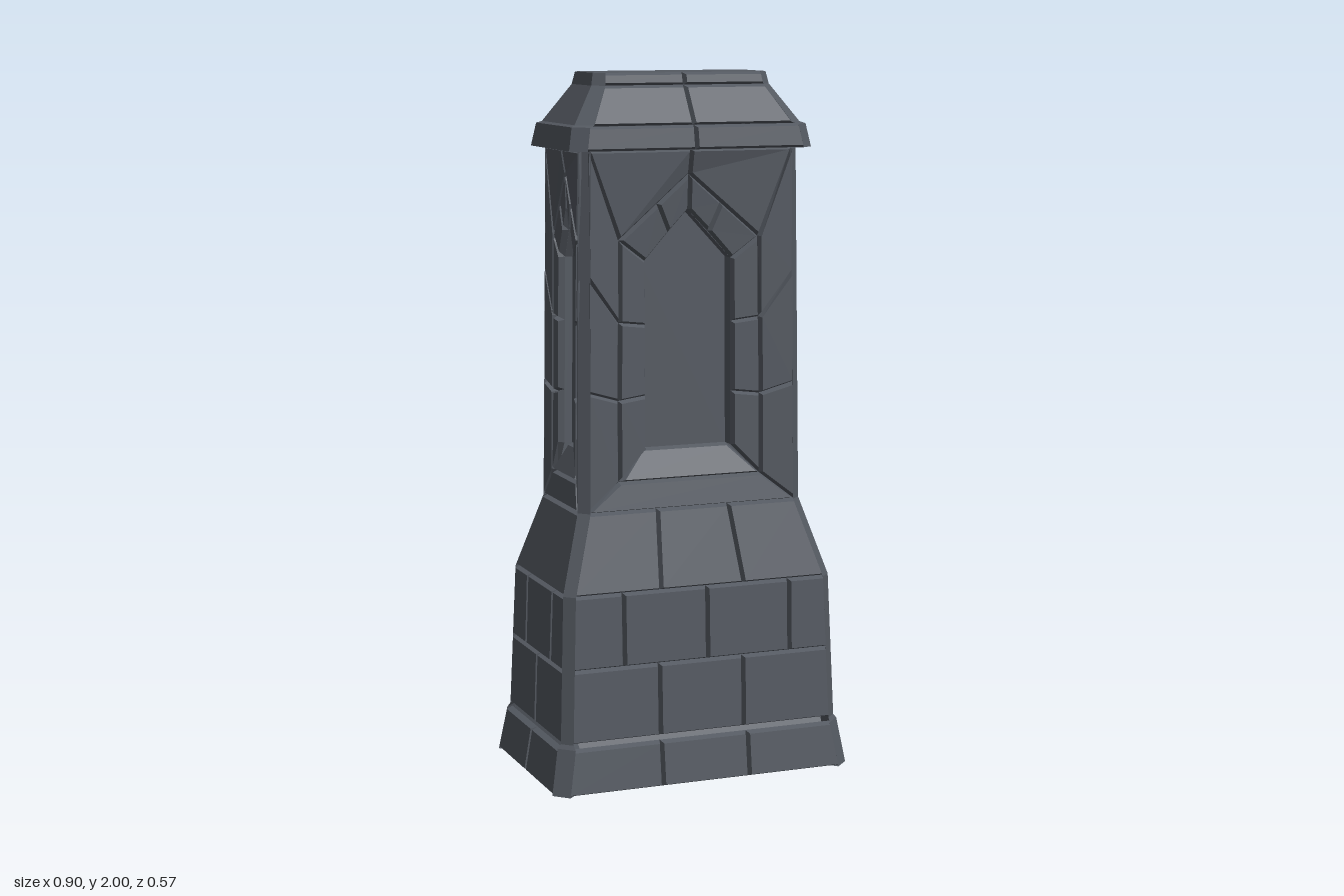
import * as THREE from 'three';

const stone = new THREE.MeshStandardMaterial({ color: 0x555a62, side: THREE.DoubleSide });
stone.name = 'slate stone';

// Level: height, half width, half depth, corner chamfer
const L = (y, w, d, c = 0.028) => ({ y, w, d, c });
const PLINTH = [L(0, 0.452, 0.287, 0.04), L(0.13, 0.43, 0.27, 0.04)];
const BODY = [L(0.142, 0.42, 0.258), L(0.56, 0.405, 0.242)];
const SHOULDER = [BODY[1], L(0.78, 0.338, 0.178)];
const SHAFT = [SHOULDER[1], L(1.79, 0.327, 0.165)];
const BAND = [L(1.79, 0.362, 0.205, 0.04), L(1.855, 0.35, 0.193, 0.04)];
const ROOF = [L(1.86, 0.337, 0.182, 0.042), L(1.965, 0.267, 0.112, 0.03)];
const LIP = [ROOF[1], L(2, 0.26, 0.102, 0.028)];
const FRONT = 0, LEFT = 6; // octagon edges that carry separate stones
const JOINT = 0.007, GROOVE = 0.018; // half width and depth of a joint

function octagon({ y, w, d, c }, inset = 0) {
  w -= inset; d -= inset;
  const a = w - c, b = d - c;
  return [[-a, d], [a, d], [w, b], [w, -b], [a, -d], [-a, -d], [-w, -b], [-w, b]]
    .map(([x, z]) => [x, y, z]);
}

function fan(out, pts) {
  for (let i = 1; i < pts.length - 1; i++) out.push(...pts[0], ...pts[i], ...pts[i + 1]);
}

function loft(out, lower, upper, skip = []) {
  for (let i = 0; i < 8; i++) {
    if (skip.includes(i)) continue;
    const j = (i + 1) % 8;
    fan(out, [lower[i], lower[j], upper[j], upper[i]]);
  }
}

function makeMesh(name, positions) {
  const g = new THREE.BufferGeometry();
  g.setAttribute('position', new THREE.Float32BufferAttribute(positions, 3));
  g.computeVertexNormals();
  const m = new THREE.Mesh(g, stone);
  m.name = name;
  return m;
}

// Shrinks a counter-clockwise convex polygon of [u, y, depth] by t
function shrink(poly, t) {
  const n = poly.length;
  return poly.map((p, i) => {
    const q = poly[(i + n - 1) % n], r = poly[(i + 1) % n];
    const e = new THREE.Vector2(p[0] - q[0], p[1] - q[1]).normalize();
    const f = new THREE.Vector2(r[0] - p[0], r[1] - p[1]).normalize();
    const k = t / Math.max(0.3, 1 + e.dot(f));
    return [p[0] - (e.y + f.y) * k, p[1] + (e.x + f.x) * k, p[2]];
  });
}

// Places [u, y, depth] on the front or left wall of a section
function placer([lo, hi], side) {
  return ([u, y, d]) => {
    const t = (y - lo.y) / (hi.y - lo.y);
    return side === FRONT
      ? [u, y, THREE.MathUtils.lerp(lo.d, hi.d, t) - d]
      : [-THREE.MathUtils.lerp(lo.w, hi.w, t) + d, y, u];
  };
}

// Stones with bevelled edges that meet in V-shaped joints
function masonry(name, section, side, polys) {
  const place = placer(section, side), out = [];
  for (let poly of polys) {
    let area = 0;
    poly.forEach((p, i) => {
      const q = poly[(i + 1) % poly.length];
      area += p[0] * q[1] - q[0] * p[1];
    });
    if (area < 0) poly = [...poly].reverse();
    const top = shrink(poly, JOINT);
    const foot = poly.map(([u, y, d]) => [u, y, d + GROOVE]);
    fan(out, top.map(place));
    top.forEach((p, i) => {
      const j = (i + 1) % top.length;
      fan(out, [foot[i], foot[j], top[j], p].map(place));
    });
  }
  return makeMesh(name, out);
}

// One row of stones, flush with the corners; each cut is [u at bottom, u at top]
function course(name, section, side, y0, y1, cuts) {
  const [lo, hi] = section;
  const edge = y => {
    const t = (y - lo.y) / (hi.y - lo.y);
    const half = l => (side === FRONT ? l.w : l.d) - l.c;
    return THREE.MathUtils.lerp(half(lo), half(hi), t) + JOINT;
  };
  const all = [[-edge(y0), -edge(y1)], ...cuts, [edge(y0), edge(y1)]];
  const polys = [];
  for (let i = 0; i < all.length - 1; i++) {
    const [a, b] = all[i], [c, d] = all[i + 1];
    polys.push([[a, y0, 0], [c, y0, 0], [d, y1, 0], [b, y1, 0]]);
  }
  return masonry(name, section, side, polys);
}

// Pointed niche with surround, arch ring, sloped sill and recessed back
function niche(name, side) {
  const [s, deep] = side === FRONT ? [1, 1] : [0.475, 0.7];
  const M = 0.015, N = 0.022, B = 0.08, S = B - GROOVE;
  const half = [
    [[0.317, 0.78, 0], [0.313, 1.12, 0], [0.215, 1.09, M], [0.215, 0.86, M]],
    [[0.313, 1.12, 0], [0.31, 1.44, 0], [0.212, 1.31, M], [0.215, 1.09, M]],
    [[0.31, 1.44, 0], [0.306, 1.79, 0], [0.21, 1.54, M], [0.212, 1.31, M]],
    [[0.306, 1.79, 0], [0, 1.79, 0], [0, 1.72, M], [0.21, 1.54, M]],
    [[0.215, 0.86, M], [0.215, 1.09, M], [0.13, 1.1, N], [0.13, 0.945, N]],
    [[0.215, 1.09, M], [0.212, 1.31, M], [0.13, 1.3, N], [0.13, 1.1, N]],
    [[0.212, 1.31, M], [0.21, 1.54, M], [0.13, 1.48, N], [0.13, 1.3, N]],
    [[0.21, 1.54, M], [0.095, 1.638, M], [0.06, 1.558, N], [0.13, 1.48, N]],
    [[0.095, 1.638, M], [0, 1.72, M], [0, 1.62, N], [0.06, 1.558, N]],
  ];
  const polys = [
    [[-0.317, 0.78, 0], [0.317, 0.78, 0], [0.215, 0.86, M], [-0.215, 0.86, M]],
    [[-0.215, 0.86, M], [0.215, 0.86, M], [0.13, 0.945, S], [-0.13, 0.945, S]],
    ...half, ...half.map(p => p.map(([u, y, d]) => [-u, y, d])),
  ].map(p => p.map(([u, y, d]) => [u * s, y, d * deep]));

  // Back plate and the reveal walls around it
  const place = placer(SHAFT, side), recess = [];
  const opening = [[0.13, 0.945], [0.13, 1.48], [0, 1.62], [-0.13, 1.48], [-0.13, 0.945]];
  const at = d => opening.map(([u, y]) => place([u * s, y, d]));
  const rear = at(B * deep), rim = at(N * deep + GROOVE);
  fan(recess, rear);
  for (let i = 0; i < 4; i++) fan(recess, [rear[i], rear[i + 1], rim[i + 1], rim[i]]);

  const group = new THREE.Group();
  group.name = name;
  group.add(masonry(name + 'Stones', SHAFT, side, polys), makeMesh(name + 'Recess', recess));
  return group;
}

export function createModel() {
  const model = new THREE.Group();
  model.name = 'stonePillar';

  // Plain walls, chamfered corners and ledges
  const shell = (name, sections, skip, cap) => {
    const out = [];
    sections.forEach(([lo, hi], i) => {
      loft(out, octagon(lo), octagon(hi), skip);
      const next = sections[i + 1];
      if (next && next[0] !== hi) loft(out, octagon(hi), octagon(next[0]), skip);
    });
    cap?.(out);
    model.add(makeMesh(name, out));
  };
  shell('baseWalls', [PLINTH, BODY, SHOULDER], [FRONT, LEFT], out => {
    // Joint floor above the plinth, behind the brick faces
    const plain = [1, 2, 3, 4, 5, 7];
    loft(out, octagon(PLINTH[1], GROOVE), octagon(BODY[0], GROOVE), plain);
    // Underside, leaving the joints open at the front and left
    loft(out, octagon(PLINTH[0], GROOVE), octagon(PLINTH[0]), [FRONT, LEFT]);
    fan(out, octagon(PLINTH[0], GROOVE).reverse());
  });
  shell('shaftWalls', [SHAFT], [FRONT, LEFT]);
  shell('capStone', [BAND, ROOF, LIP], [FRONT], out => {
    loft(out, octagon(SHAFT[1], GROOVE), octagon(BAND[0]));
    fan(out, octagon(LIP[1]));
  });

  // Brick courses on the front and left walls
  const v = (...us) => us.map(u => [u, u]);
  model.add(
    course('frontPlinth', PLINTH, FRONT, 0, 0.13, v(-0.132, 0.132)),
    course('frontLowerCourse', BODY, FRONT, 0.142, 0.35, v(-0.13, 0.125)),
    course('frontUpperCourse', BODY, FRONT, 0.35, 0.56, v(-0.235, 0.017, 0.27)),
    course('frontShoulder', SHOULDER, FRONT, 0.56, 0.78, [[-0.122, -0.108], [0.13, 0.108]]),
    course('sidePlinth', PLINTH, LEFT, 0, 0.13, v(0)),
    course('sideLowerCourse', BODY, LEFT, 0.142, 0.35, v(0)),
    course('sideUpperCourse', BODY, LEFT, 0.35, 0.56, v(-0.1, 0.12)),
    course('sideShoulder', SHOULDER, LEFT, 0.56, 0.78, []),
    course('capBand', BAND, FRONT, 1.79, 1.857, v(0)),
    course('capRoof', ROOF, FRONT, 1.857, 1.965, v(0)),
    course('capLip', LIP, FRONT, 1.965, 2, v(0)),
    niche('frontNiche', FRONT),
    niche('sideNiche', LEFT),
  );
  return model;
}
